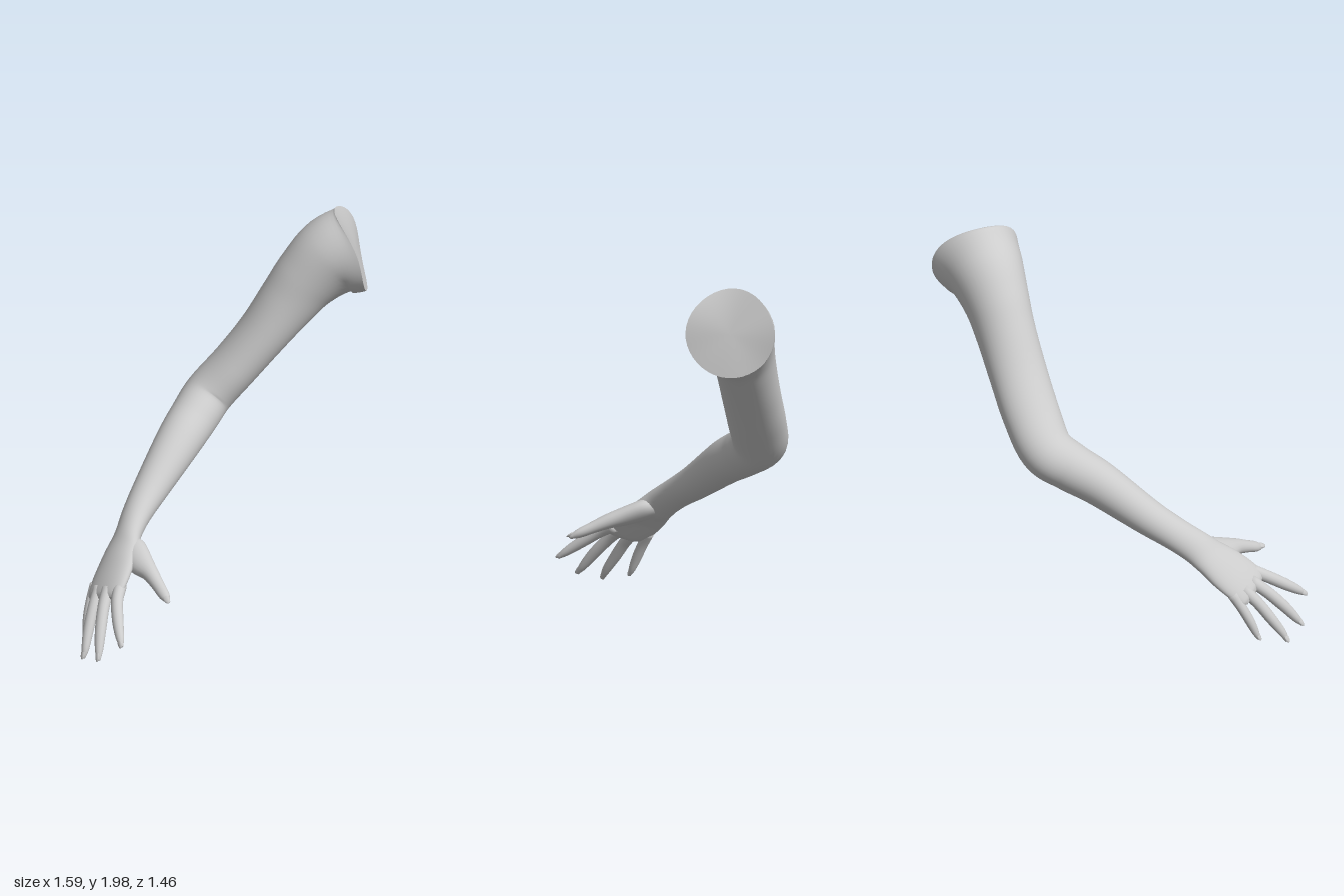
import * as THREE from 'three';

const V = (x, y, z) => new THREE.Vector3(x, y, z);
const material = new THREE.MeshStandardMaterial({ color: 0xcccccc, roughness: 0.8 });

// Frame at a point: w = width direction, n = back-of-hand direction
function frame(tangent, hint) {
  const t = tangent.clone().normalize();
  const w = hint.clone().addScaledVector(t, -hint.dot(t)).normalize();
  return { t, w, n: t.clone().cross(w) };
}

// Smooth elliptical loft. Each section: [x, y, z, half width, half thickness]
function loft(sections, hints, { sides = 24, sub = 4, closeStart = true, bend } = {}) {
  const centre = new THREE.CatmullRomCurve3(sections.map(s => V(s[0], s[1], s[2])), false, 'catmullrom', 0.5);
  const radius = new THREE.CatmullRomCurve3(sections.map(s => V(s[3], s[4], 0)), false, 'catmullrom', 0.5);
  const hint = hints.length > 1 ? new THREE.CatmullRomCurve3(hints, false, 'catmullrom', 0.5) : null;
  const rows = (sections.length - 1) * sub;
  const pos = [], index = [];
  for (let i = 0; i <= rows; i++) {
    const u = i / rows;
    const c = centre.getPoint(u), r = radius.getPoint(u);
    const { w, n } = frame(centre.getTangent(u), hint ? hint.getPoint(u) : hints[0]);
    for (let j = 0; j < sides; j++) {
      const a = (j / sides) * Math.PI * 2;
      const p = c.clone().addScaledVector(w, r.x * Math.cos(a)).addScaledVector(n, r.y * Math.sin(a));
      if (bend) bend(p, a, u);
      pos.push(p.x, p.y, p.z);
    }
  }
  for (let i = 0; i < rows; i++) {
    for (let j = 0; j < sides; j++) {
      const k = (j + 1) % sides;
      const a = i * sides + j, b = i * sides + k;
      index.push(a, b, b + sides, a, b + sides, a + sides);
    }
  }
  // End poles
  const addPole = (p, row, flip) => {
    const id = pos.length / 3;
    pos.push(p.x, p.y, p.z);
    for (let j = 0; j < sides; j++) {
      const a = row * sides + j, b = row * sides + (j + 1) % sides;
      index.push(...(flip ? [b, a, id] : [a, b, id]));
    }
  };
  if (closeStart) addPole(centre.getPoint(0), 0, true);
  const last = centre.getPoint(1).addScaledVector(centre.getTangent(1), sections.at(-1)[4] * 0.6);
  addPole(last, rows, false);
  const g = new THREE.BufferGeometry();
  g.setAttribute('position', new THREE.Float32BufferAttribute(pos, 3));
  g.setIndex(index);
  g.computeVertexNormals();
  return g;
}

export function createModel() {
  const model = new THREE.Group();
  model.name = 'arm';
  const add = (name, geometry) => {
    const mesh = new THREE.Mesh(geometry, material);
    mesh.name = name;
    model.add(mesh);
    return mesh;
  };

  // Upper arm, forearm and palm in one continuous skin
  const sides = 40;
  const armSections = [
    [0.735, 1.775, -0.49, 0.237, 0.228],
    [0.62, 1.735, -0.495, 0.2, 0.212],
    [0.5, 1.63, -0.495, 0.17, 0.178],
    [0.4, 1.505, -0.495, 0.156, 0.155],
    [0.26, 1.32, -0.492, 0.153, 0.13],
    [0.12, 1.15, -0.488, 0.152, 0.122],
    [-0.015, 1.005, -0.47, 0.143, 0.124],
    [-0.1, 0.925, -0.38, 0.128, 0.125],
    [-0.2, 0.84, -0.255, 0.115, 0.118],
    [-0.355, 0.685, -0.07, 0.095, 0.092],
    [-0.445, 0.595, 0.05, 0.087, 0.074],
    [-0.5, 0.525, 0.14, 0.09, 0.062],
    [-0.535, 0.47, 0.2, 0.106, 0.057],
    [-0.575, 0.41, 0.265, 0.125, 0.053],
    [-0.62, 0.345, 0.335, 0.132, 0.046],
    [-0.65, 0.302, 0.382, 0.124, 0.035],
    [-0.662, 0.285, 0.4, 0.1, 0.018],
  ];
  const z = V(0, 0, 1), wristDir = V(0.54, 0.69, 0.49), handDir = V(0.5, 0.28, 0.82);
  const armHints = armSections.map((s, i) =>
    i < 7 ? z : i < 12 ? z.clone().lerp(wristDir, (i - 6) / 6) : handDir);
  // Uneven cut rim at the shoulder, and a hollowed palm
  const shape = (p, a, u) => {
    const rim = Math.max(0, 1 - u * 16);
    p.x += rim * (0.02 * Math.cos(2 * a) + 0.008 * Math.cos(a + Math.PI) + 0.01 * Math.sin(3 * a));
    const palm = Math.max(0, 1 - Math.abs(u - 0.83) / 0.09);
    const hollow = palm * Math.max(0, -Math.sin(a)) ** 3 * 0.022;
    p.add(V(-0.68, 0.67, 0.19).multiplyScalar(hollow));
  };
  const armGeometry = loft(armSections, armHints, { sides, sub: 6, closeStart: false, bend: shape });
  add('armAndPalm', armGeometry);

  // Shoulder cut face, sharing the rim of the arm
  const src = armGeometry.attributes.position;
  const capPos = [0.742, 1.775, -0.49], capIndex = [];
  for (let j = 0; j < sides; j++) {
    capPos.push(src.getX(j), src.getY(j), src.getZ(j));
    capIndex.push(0, 1 + (j + 1) % sides, 1 + j);
  }
  const cap = new THREE.BufferGeometry();
  cap.setAttribute('position', new THREE.Float32BufferAttribute(capPos, 3));
  cap.setIndex(capIndex);
  cap.computeVertexNormals();
  add('shoulderCutFace', cap);

  // Fingernail laid on the back of a fingertip
  const addNail = (name, a, b, hint, size) => {
    const { t, w, n } = frame(b.clone().sub(a), hint);
    const nail = add(name, new THREE.SphereGeometry(1, 12, 8).scale(0.015 * size, 0.007 * size, 0.032 * size));
    nail.quaternion.setFromRotationMatrix(new THREE.Matrix4().makeBasis(w, n, t));
    nail.position.copy(a).lerp(b, 0.62).addScaledVector(n, 0.01 * size);
  };

  // Four fingers from knuckle to tip
  const fingers = {
    index: [1, [-0.575, 0.36, 0.415], [-0.6, 0.315, 0.5], [-0.607, 0.25, 0.6], [-0.605, 0.195, 0.68], [-0.6, 0.165, 0.718]],
    middle: [1, [-0.632, 0.335, 0.385], [-0.665, 0.27, 0.46], [-0.69, 0.18, 0.545], [-0.705, 0.1, 0.61], [-0.71, 0.057, 0.643]],
    ring: [0.96, [-0.67, 0.315, 0.325], [-0.708, 0.24, 0.39], [-0.74, 0.15, 0.45], [-0.763, 0.065, 0.505], [-0.775, 0.018, 0.526]],
    little: [0.84, [-0.685, 0.305, 0.26], [-0.713, 0.23, 0.3], [-0.733, 0.155, 0.335], [-0.744, 0.09, 0.362], [-0.749, 0.052, 0.378]],
  };
  const girth = [0.035, 0.032, 0.03, 0.022, 0.009];
  for (const [name, [size, ...points]] of Object.entries(fingers)) {
    const sections = points.map((p, i) => [...p, girth[i] * size, girth[i] * size * 0.95]);
    add(name + 'Finger', loft(sections, [handDir], { sides: 16 }));
    addNail(name + 'Nail', V(...points[3]), V(...points[4]), handDir, size);
  }

  // Thumb with a broad base that forms the web of the hand
  const thumbHint = V(0.75, 0.5, -0.05);
  const thumb = [
    [-0.515, 0.505, 0.16, 0.045, 0.045],
    [-0.495, 0.475, 0.24, 0.078, 0.05],
    [-0.46, 0.447, 0.33, 0.068, 0.046],
    [-0.42, 0.425, 0.41, 0.045, 0.038],
    [-0.39, 0.395, 0.485, 0.034, 0.03],
    [-0.363, 0.365, 0.555, 0.028, 0.023],
    [-0.346, 0.346, 0.598, 0.01, 0.009],
  ];
  add('thumb', loft(thumb, [thumbHint], { sides: 20 }));
  addNail('thumbNail', V(...thumb[5]), V(...thumb[6]), thumbHint, 1.1);

  return model;
}
